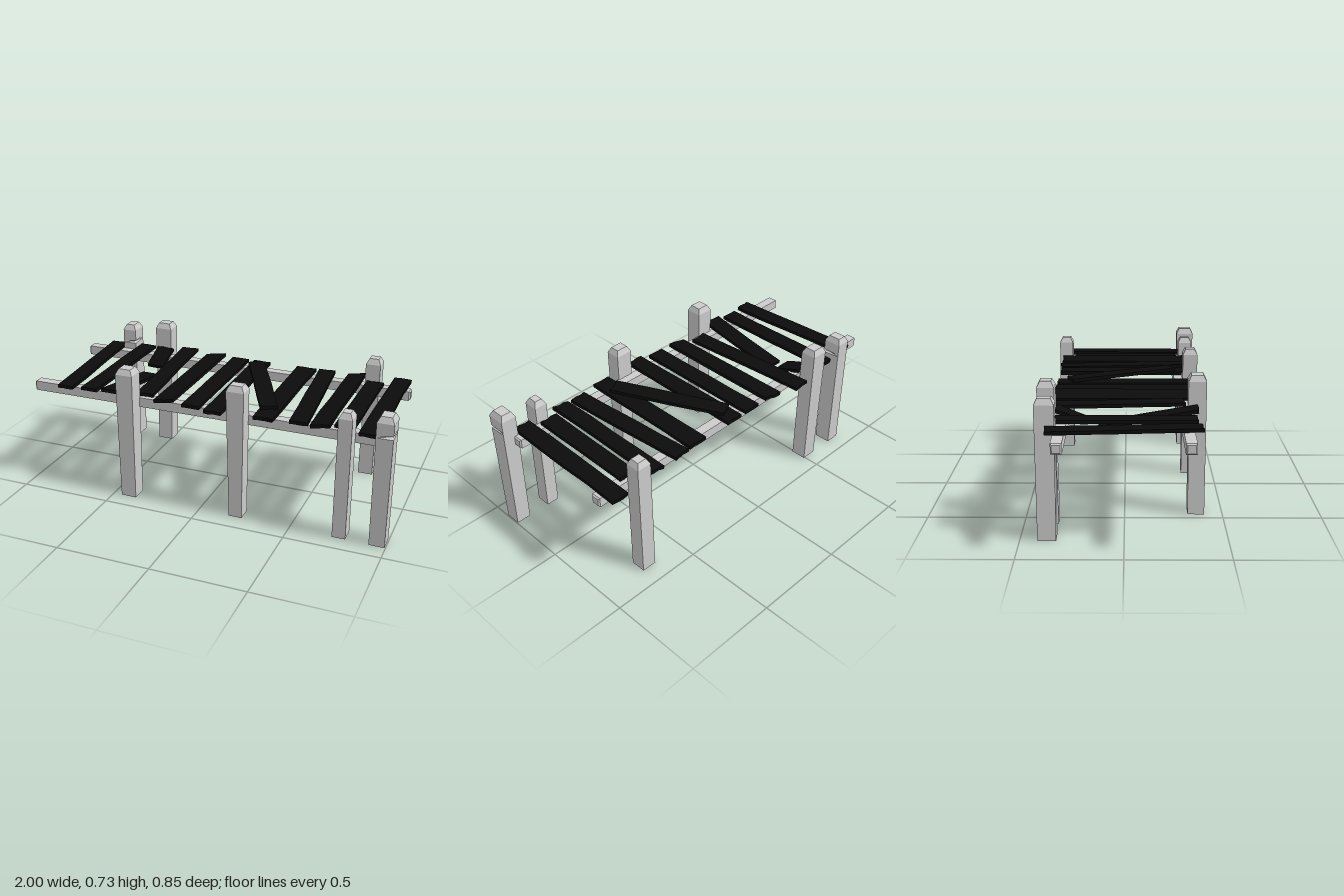
import * as THREE from 'three';

const grey = new THREE.MeshStandardMaterial({ color: 0xcccccc, flatShading: true, side: THREE.DoubleSide });
const tar = new THREE.MeshStandardMaterial({ color: 0x0b0b0b, flatShading: true, side: THREE.DoubleSide });

let seed = 7;
const rand = () => (seed = (seed * 16807) % 2147483647) / 2147483647;
const jitter = (a) => (rand() - 0.5) * 2 * a;

// Four-sided loft through rings of corner points, listed from bottom to top
function loft(rings, capBottom) {
  const pos = [];
  const quad = (a, b, c, d) => pos.push(...a, ...b, ...c, ...a, ...c, ...d);
  for (let i = 0; i < rings.length - 1; i++) {
    const lo = rings[i], hi = rings[i + 1];
    for (let k = 0; k < 4; k++) {
      const n = (k + 1) % 4;
      quad(lo[k], lo[n], hi[n], hi[k]);
    }
  }
  quad(...rings[rings.length - 1]);
  if (capBottom) quad(...[...rings[0]].reverse());
  const geo = new THREE.BufferGeometry();
  geo.setAttribute('position', new THREE.Float32BufferAttribute(pos, 3));
  geo.computeVertexNormals();
  return geo;
}

// Corners run counter-clockwise seen from above
const ring = (y, cx, cz, w, d) => [
  [cx - w / 2, y, cz + d / 2], [cx + w / 2, y, cz + d / 2],
  [cx + w / 2, y, cz - d / 2], [cx - w / 2, y, cz - d / 2],
];

// Post: tapered, chamfered at the top, hollow underneath; chip = nicked corner index
function post({ h, bottom, top, chip }) {
  const at = (y) => {
    const t = y / (h - 0.03);
    return ring(y, ...bottom.map((b, i) => b + (top[i] - b) * t));
  };
  const rings = [at(0), at(0.3)];
  if (chip !== undefined) {
    const nick = at(0.6);
    const [x, y, z] = nick[chip], o = nick[(chip + 2) % 4];
    nick[chip] = [x + (o[0] - x) * 0.2, y, z + (o[2] - z) * 0.2];
    rings.push(at(0.61), nick, at(0.592));
    rings.sort((a, b) => a[0][1] - b[0][1]);
  }
  rings.push(at(h - 0.03));
  const [cx, cz, w, d] = top;
  rings.push(ring(h, cx, cz, w - 0.03, d - 0.03));
  return new THREE.Mesh(loft(rings, false), grey);
}

// Plank: board with uneven edges and slightly ragged ends
function plank({ a, b, w, roll = 0, t = 0.018 }) {
  const dir = new THREE.Vector3(...b).sub(new THREE.Vector3(...a));
  const L = dir.length(), pts = [];
  const steps = 4;
  for (let i = 0; i <= steps; i++) pts.push([w / 2 + jitter(0.003), -L / 2 + (L * i) / steps]);
  pts.push([w * 0.2, L / 2 + jitter(0.006)], [-w * 0.15, L / 2 + jitter(0.006)]);
  for (let i = steps; i >= 0; i--) pts.push([-w / 2 + jitter(0.003), -L / 2 + (L * i) / steps]);
  pts.push([-w * 0.2, -L / 2 + jitter(0.006)], [w * 0.15, -L / 2 + jitter(0.006)]);
  const shape = new THREE.Shape(pts.map((p) => new THREE.Vector2(...p)));
  const geo = new THREE.ExtrudeGeometry(shape, { depth: t, bevelEnabled: false });
  geo.translate(0, 0, -t / 2).rotateX(-Math.PI / 2);
  const mesh = new THREE.Mesh(geo, tar);
  mesh.position.set(...a).addScaledVector(dir, 0.5);
  mesh.rotation.set(-Math.asin(dir.y / L), Math.atan2(dir.x, dir.z), roll, 'YXZ');
  return mesh;
}

export function createModel() {
  const model = new THREE.Group();
  const add = (mesh, name) => { mesh.name = name; model.add(mesh); };

  // Two long rails with chamfered ends
  for (const z of [-0.3, 0.3]) {
    const rail = new THREE.Mesh(loft([
      ring(-1, 0, 0, 0.038, 0.038), ring(-0.992, 0, 0, 0.052, 0.052),
      ring(0.932, 0, 0, 0.052, 0.052), ring(0.94, 0, 0, 0.038, 0.038),
    ], true), grey);
    rail.rotation.z = -Math.PI / 2;
    rail.position.set(0, 0.529, z);
    add(rail, z > 0 ? 'frontRail' : 'backRail');
  }

  // Posts: bottom and top sections as centre x, centre z, width, depth
  const posts = [
    { h: 0.7, bottom: [-0.75, -0.37, 0.08, 0.09], top: [-0.75, -0.37, 0.078, 0.095], chip: 1 },
    { h: 0.73, bottom: [-0.535, -0.37, 0.085, 0.085], top: [-0.535, -0.38, 0.095, 0.085] },
    { h: 0.69, bottom: [0.715, -0.363, 0.08, 0.08], top: [0.72, -0.362, 0.08, 0.078] },
    { h: 0.73, bottom: [-0.41, 0.365, 0.085, 0.085], top: [-0.41, 0.36, 0.095, 0.09] },
    { h: 0.73, bottom: [0.205, 0.36, 0.07, 0.08], top: [0.2, 0.36, 0.095, 0.08] },
    { h: 0.68, bottom: [0.76, 0.362, 0.07, 0.08], top: [0.762, 0.362, 0.07, 0.08] },
    { h: 0.7, bottom: [0.955, 0.365, 0.08, 0.085], top: [0.957, 0.372, 0.085, 0.1], chip: 1 },
  ];
  posts.forEach((p, i) => add(post(p), `post${i + 1}`));

  // Deck planks: back x, back z, front x, front z, width, roll
  const deck = [
    [-0.84, -0.365, -0.785, 0.365, 0.09, 0],
    [-0.655, -0.378, -0.652, 0.35, 0.093, 0],
    [-0.4, -0.422, -0.345, 0.305, 0.092, 0],
    [-0.215, -0.378, -0.215, 0.35, 0.118, 0.18],
    [-0.06, -0.37, -0.06, 0.36, 0.098, 0],
    [0.07, -0.37, 0.07, 0.388, 0.096, 0],
    [0.335, -0.37, 0.335, 0.368, 0.108, 0],
    [0.455, -0.38, 0.512, 0.345, 0.092, 0],
    [0.622, -0.38, 0.622, 0.35, 0.1, 0.15],
    [0.742, -0.305, 0.737, 0.305, 0.097, 0],
    [0.87, -0.4, 0.865, 0.358, 0.095, 0],
  ];
  deck.forEach(([x0, z0, x1, z1, w, roll], i) => {
    const y = 0.565 + (roll ? 0.003 : 0);
    add(plank({ a: [x0, y, z0], b: [x1, y, z1], w, roll }), `deckPlank${i + 1}`);
  });

  // Loose plank lying across the deck
  add(plank({ a: [0.06, 0.585, -0.3], b: [0.335, 0.585, 0.265], w: 0.09 }), 'loosePlank');

  // Snapped plank sagging between the rails
  add(plank({ a: [-0.52, 0.497, -0.125], b: [-0.52, 0.58, 0.36], w: 0.098 }), 'brokenPlankFront');
  add(plank({ a: [-0.52, 0.582, -0.335], b: [-0.52, 0.523, -0.188], w: 0.098 }), 'brokenPlankBack');

  return model;
}
